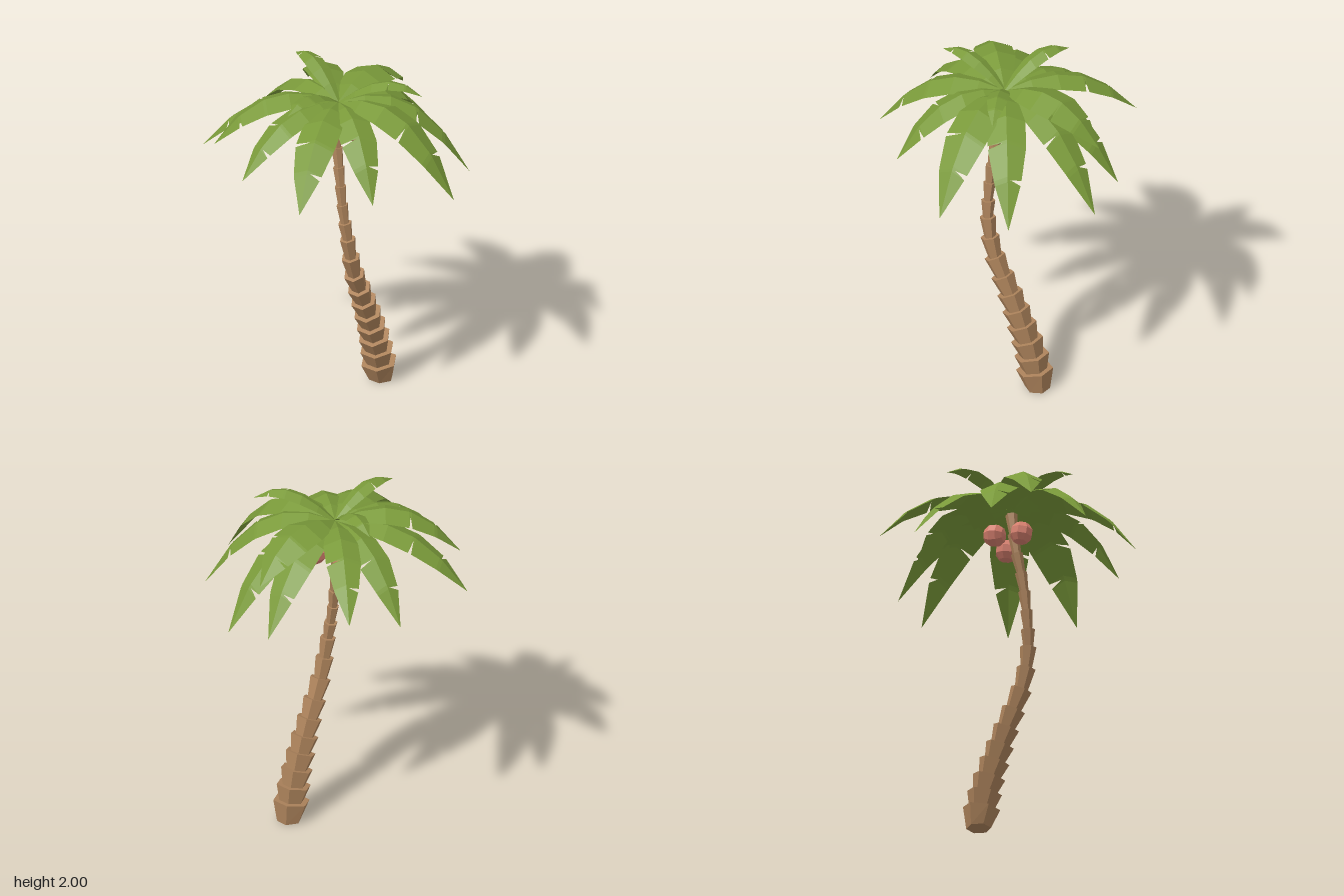
import * as THREE from 'three';

const leafMat = new THREE.MeshStandardMaterial({ color: 0x7a9a3a, flatShading: true, side: THREE.DoubleSide });
const barkMat = new THREE.MeshStandardMaterial({ color: 0xae845c, flatShading: true });
const nutMat = new THREE.MeshStandardMaterial({ color: 0xd67f6e, flatShading: true });

const CROWN = new THREE.Vector3(0.005, 1.83, -0.02);
const UP = new THREE.Vector3(0, 1, 0);

// Curved trunk: stacked rings, each flaring upwards
function makeTrunk() {
  const trunk = new THREE.Group();
  trunk.name = 'trunk';
  const path = new THREE.CatmullRomCurve3([
    [0.152, 0, -0.275], [0.145, 0.2, -0.238], [0.135, 0.4, -0.168], [0.12, 0.6, -0.085],
    [0.105, 0.8, 0.005], [0.09, 1.0, 0.045], [0.06, 1.2, 0.05], [0.035, 1.4, 0.035],
    [0.005, 1.6, 0.005], [0.005, 1.8, -0.02],
  ].map(p => new THREE.Vector3(...p)));
  const levels = [0, 0.115, 0.205, 0.295, 0.385, 0.475, 0.57, 0.67, 0.78, 0.9, 1.02, 1.12, 1.23, 1.34, 1.45, 1.56, 1.68, 1.8];
  for (let i = 0; i < levels.length - 1; i++) {
    const a = path.getPoint(levels[i] / 1.8);
    const b = path.getPoint(levels[i + 1] / 1.8);
    const dir = b.clone().sub(a).normalize();
    if (i > 0) a.addScaledVector(dir, -0.015);
    const r = Math.max(0.034, 0.112 - 0.065 * levels[i + 1]);
    const geo = new THREE.CylinderGeometry(r, r * 0.67, a.distanceTo(b), 6, 1, false, 0.26);
    geo.applyQuaternion(new THREE.Quaternion().setFromUnitVectors(UP, dir));
    geo.translate((a.x + b.x) / 2, (a.y + b.y) / 2, (a.z + b.z) / 2);
    // The lowest ring is cut flat at the ground
    const pos = geo.attributes.position;
    if (i === 0) for (let k = 0; k < pos.count; k++) if (pos.getY(k) < 0.04) pos.setY(k, 0);
    geo.computeVertexNormals();
    const ring = new THREE.Mesh(geo, barkMat);
    ring.name = 'trunkRing';
    trunk.add(ring);
  }
  return trunk;
}

// Frond: a folded blade arching from the crown to its tip, with one notch per side
function makeFrond(tip, rise, halfWidth) {
  const flat = new THREE.Vector3(tip[0] - CROWN.x, 0, tip[2] - CROWN.z);
  const right = flat.clone().normalize().cross(UP);
  const fall = rise + CROWN.y - tip[1];

  const ridge = t => CROWN.clone().addScaledVector(flat, t)
    .addScaledVector(UP, rise * t - fall * Math.pow(t, 2.5));
  const edge = (t, side, notch) => {
    let w = halfWidth * Math.pow(Math.max(0, Math.sin(Math.PI * t)), 0.75);
    w = Math.max(w, t < 0.1 ? 0.012 : 0);
    if (t === notch) w *= 0.2;
    return ridge(t).addScaledVector(right, side * w).addScaledVector(UP, -0.4 * w);
  };

  const rows = [0, 0.2, 0.4, 0.588, 0.6, 0.612, 0.788, 0.8, 0.812, 1];
  const points = [];
  for (const [side, notch] of [[1, 0.6], [-1, 0.8]]) {
    for (let i = 0; i < rows.length - 1; i++) {
      const a = ridge(rows[i]), a2 = ridge(rows[i + 1]);
      const b = edge(rows[i], side, notch), b2 = edge(rows[i + 1], side, notch);
      points.push(...(side > 0 ? [a, b, a2, b, b2, a2] : [a, a2, b, b, a2, b2]));
    }
  }
  const geo = new THREE.BufferGeometry().setFromPoints(points);
  geo.computeVertexNormals();
  const frond = new THREE.Mesh(geo, leafMat);
  frond.name = 'frond';
  return frond;
}

export function createModel() {
  const palm = new THREE.Group();
  palm.name = 'palmTree';
  palm.add(makeTrunk());

  // Crown: tip position, rise at the root, half width
  const crown = new THREE.Group();
  crown.name = 'crown';
  [
    // Long drooping fronds
    [[0.04, 1.41, -0.71], 0.22, 0.11],
    [[0.31, 1.36, -0.68], 0.2, 0.11],
    [[0.67, 1.385, -0.31], 0.25, 0.11],
    [[0.735, 1.41, 0.075], 0.29, 0.125],
    [[0.41, 1.5, 0.46], 0.2, 0.105],
    [[0.07, 1.49, 0.7], 0.22, 0.115],
    [[-0.33, 1.55, 0.56], 0.2, 0.1],
    [[-0.735, 1.495, 0.16], 0.17, 0.11],
    [[-0.6, 1.49, -0.355], 0.2, 0.1],
    // Higher fronds lying over them
    [[0.135, 1.68, -0.635], 0.33, 0.13],
    [[-0.59, 1.62, 0.34], 0.32, 0.11],
    [[-0.43, 1.59, -0.63], 0.27, 0.1],
    // Short young fronds on top
    [[0.46, 1.9, -0.13], 0.4, 0.06],
    [[-0.125, 1.92, 0.4], 0.36, 0.055],
    [[-0.35, 1.95, -0.26], 0.42, 0.06],
  ].forEach(f => crown.add(makeFrond(...f)));
  palm.add(crown);

  // Coconuts hanging below the crown
  for (const [x, y, z] of [[-0.08, 1.65, -0.085], [-0.045, 1.655, 0.06], [0.095, 1.63, -0.085]]) {
    const nut = new THREE.Mesh(new THREE.SphereGeometry(0.066, 8, 5), nutMat);
    nut.name = 'coconut';
    nut.position.set(x, y, z);
    nut.rotation.set(x * 9, y, z * 9);
    palm.add(nut);
  }
  return palm;
}
